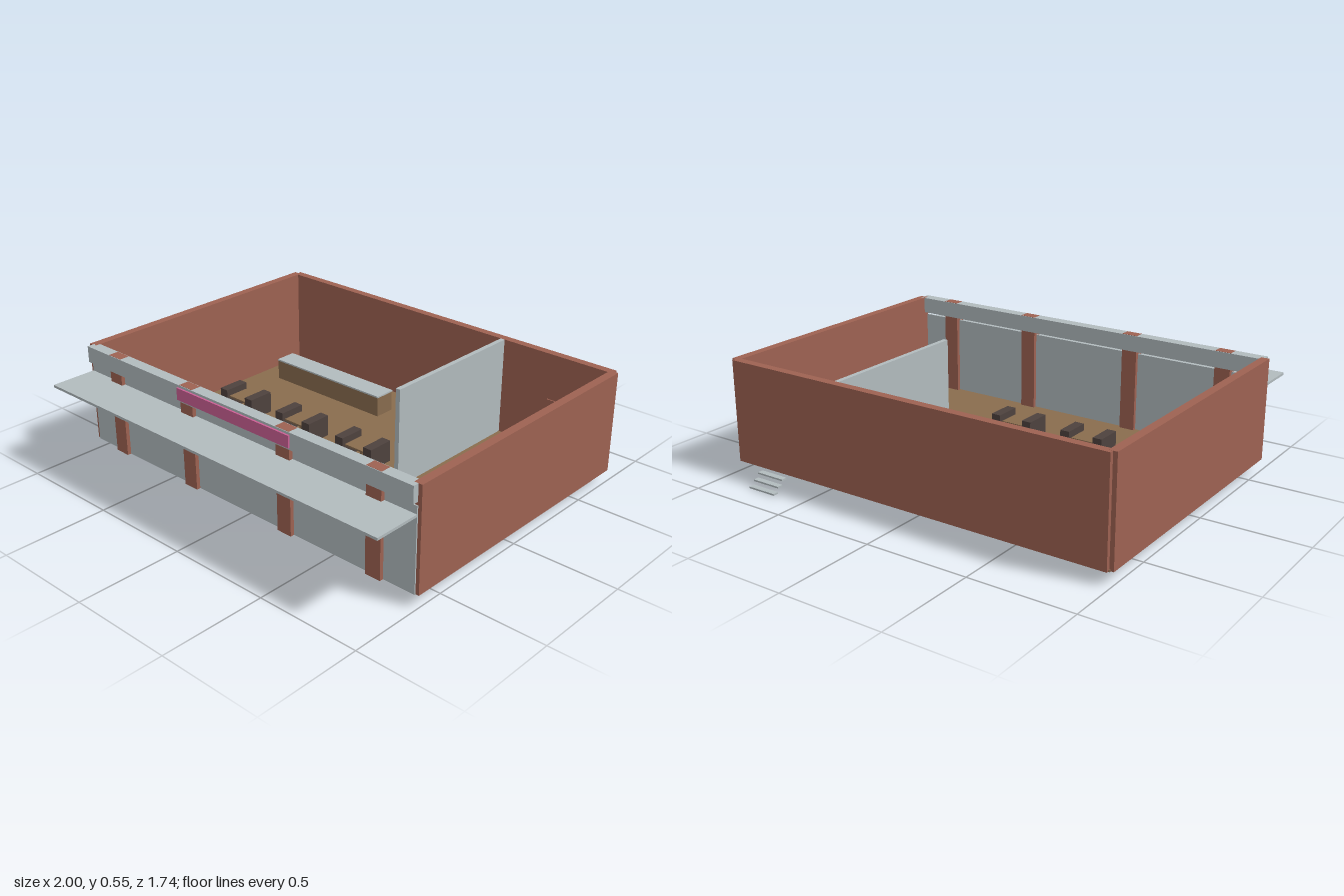
import * as THREE from 'three';

const mat = (name, color) => {
  const m = new THREE.MeshStandardMaterial({ color });
  m.name = name;
  return m;
};

export function createModel() {
  const brick = mat('brick', 0x9e6252);
  const grey = mat('pale grey', 0xb2bbbe);
  const wood = mat('wood brown', 0x896c4e);
  const dark = mat('dark seat', 0x4e423e);
  const pink = mat('pink', 0xcb6095);

  const model = new THREE.Group();
  model.name = 'diner';

  // Box given by its limits on each axis
  const box = (name, material, [x0, x1], [y0, y1], [z0, z1], parent = model) => {
    const mesh = new THREE.Mesh(new THREE.BoxGeometry(x1 - x0, y1 - y0, z1 - z0), material);
    mesh.position.set((x0 + x1) / 2, (y0 + y1) / 2, (z0 + z1) / 2);
    mesh.name = name;
    parent.add(mesh);
    return mesh;
  };

  const base = 0.057, top = 0.546, floorTop = 0.064;

  // Shell: floor, side walls, back wall and inner partition
  box('floor', wood, [-0.985, 0.985], [0.0555, floorTop], [-0.745, 0.636]);
  for (const s of [-1, 1]) {
    box('sideWall', brick, [s * 0.98 - 0.02, s * 0.98 + 0.02], [base, top], [-0.738, 0.636]);
  }
  box('backWall', brick, [-0.98, 0.98], [base, top - 0.0005], [-0.757, -0.718]);
  box('partition', grey, [0.378, 0.401], [base, top - 0.001], [-0.72, 0.05]);
  box('backDoor', brick, [0.66, 0.81], [floorTop, 0.32], [-0.72, -0.711]);

  // Shop front: glazing, pillars, fascia, canopy and blank sign
  box('shopWindow', grey, [-0.983, 0.983], [base, 0.452], [0.63, 0.642]);
  for (const x of [-0.784, -0.294, 0.294, 0.784]) {
    box('pillar', brick, [x - 0.039, x + 0.039], [base, top + 0.001], [0.611, 0.661]);
  }
  box('fascia', grey, [-0.981, 0.981], [0.467, top], [0.608, 0.664]);
  box('canopy', grey, [-0.983, 0.983], [0.404, 0.416], [0.636, 0.868]);
  box('signBoard', pink, [-0.34, 0.34], [0.478, 0.535], [0.664, 0.673]);

  // Serving counter
  box('counterBody', wood, [-0.84, -0.141], [floorTop, 0.165], [-0.545, -0.437]);
  box('counterTop', grey, [-0.842, -0.139], [0.165, 0.173], [-0.547, -0.435]);

  // Booths: a table between two benches
  for (const z of [-0.052, 0.242]) {
    for (const x of [-0.688, -0.294, 0.099]) {
      const booth = new THREE.Group();
      booth.name = 'booth';
      booth.position.set(x, 0, z);
      model.add(booth);
      for (const s of [-1, 1]) {
        box('bench', dark, [s * 0.088 - 0.024, s * 0.088 + 0.024], [floorTop, 0.17], [-0.067, 0.067], booth);
      }
      box('tableTop', wood, [-0.058, 0.058], [0.132, 0.14], [-0.057, 0.057], booth);
      box('tableLeg', wood, [-0.008, 0.008], [floorTop, 0.132], [-0.008, 0.008], booth);
    }
  }

  // Back steps
  for (let i = 0; i < 3; i++) {
    const y = i * 0.025, z = -0.868 + i * 0.0285;
    box('backStep', grey, [0.66, 0.81], [y, y + 0.008], [z, z + 0.0285]);
  }

  return model;
}
